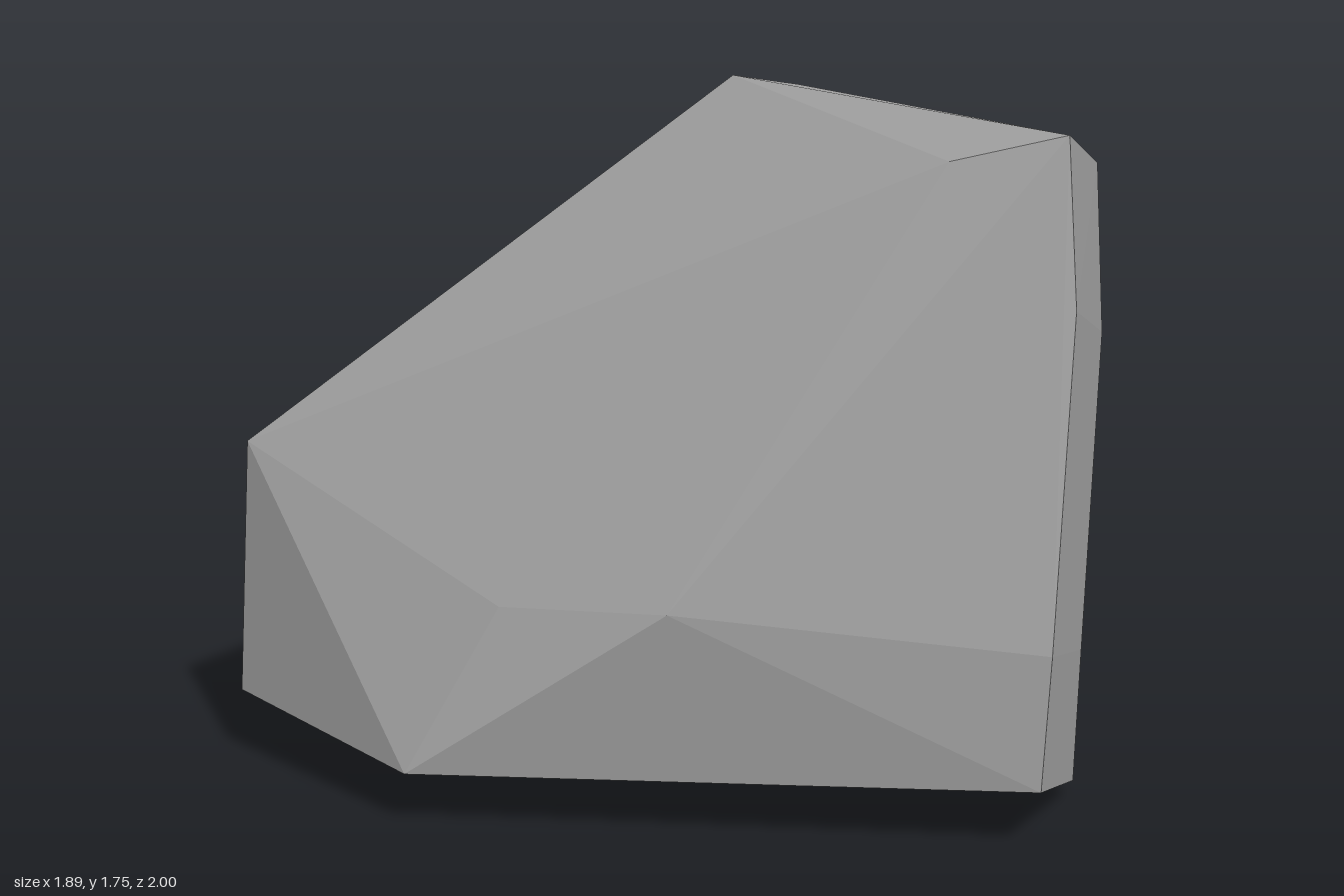
import * as THREE from 'three';
import { ConvexGeometry } from 'three/addons/geometries/ConvexGeometry.js';

export function createModel() {
  const group = new THREE.Group();
  group.name = 'rock';
  const stone = new THREE.MeshStandardMaterial({ color: 0xa0a0a0 });
  stone.name = 'grey stone';

  // Corners of the faceted boulder, grouped by region
  const base = [
    [0.41, 0.16, 1], [0.72, 0.05, 0.77], [0.74, 0.035, 0.35], [0.35, 0.005, 0],
    [-0.51, 0.04, -0.23], [-0.66, 0.085, -0.88], [-0.95, 0.19, -0.65], [-0.81, 0.145, 0.03],
  ];
  const frontRidge = [
    [0.43, 0.5, 1], [0.58, 1.3, 0.87], [0.73, 0.4, 0.77], [0.875, 1.18, 0.64],
    [-0.32, 0.59, 0.47], [-0.58, 0.56, 0.11],
  ];
  const crown = [
    [0.6, 1.71, 0.8], [0.4, 1.64, 0.6], [0.9, 1.6, 0.57], [0.48, 1.76, -0.45],
    [0.63, 1.735, -0.35], [0.78, 1.65, -0.69], [0.93, 1.63, -0.59],
  ];
  const back = [
    [0.945, 1.15, -0.48], [0.86, 1.295, -0.69], [0.55, 1.26, -1],
    [-0.58, 0.72, -0.95], [-0.88, 0.85, -0.71],
  ];
  const corners = [...base, ...frontRidge, ...crown, ...back].map((p) => new THREE.Vector3(...p));

  // Flat facets wrapped around the corners
  const boulder = new THREE.Mesh(new ConvexGeometry(corners), stone);
  boulder.name = 'boulder';
  group.add(boulder);
  return group;
}
